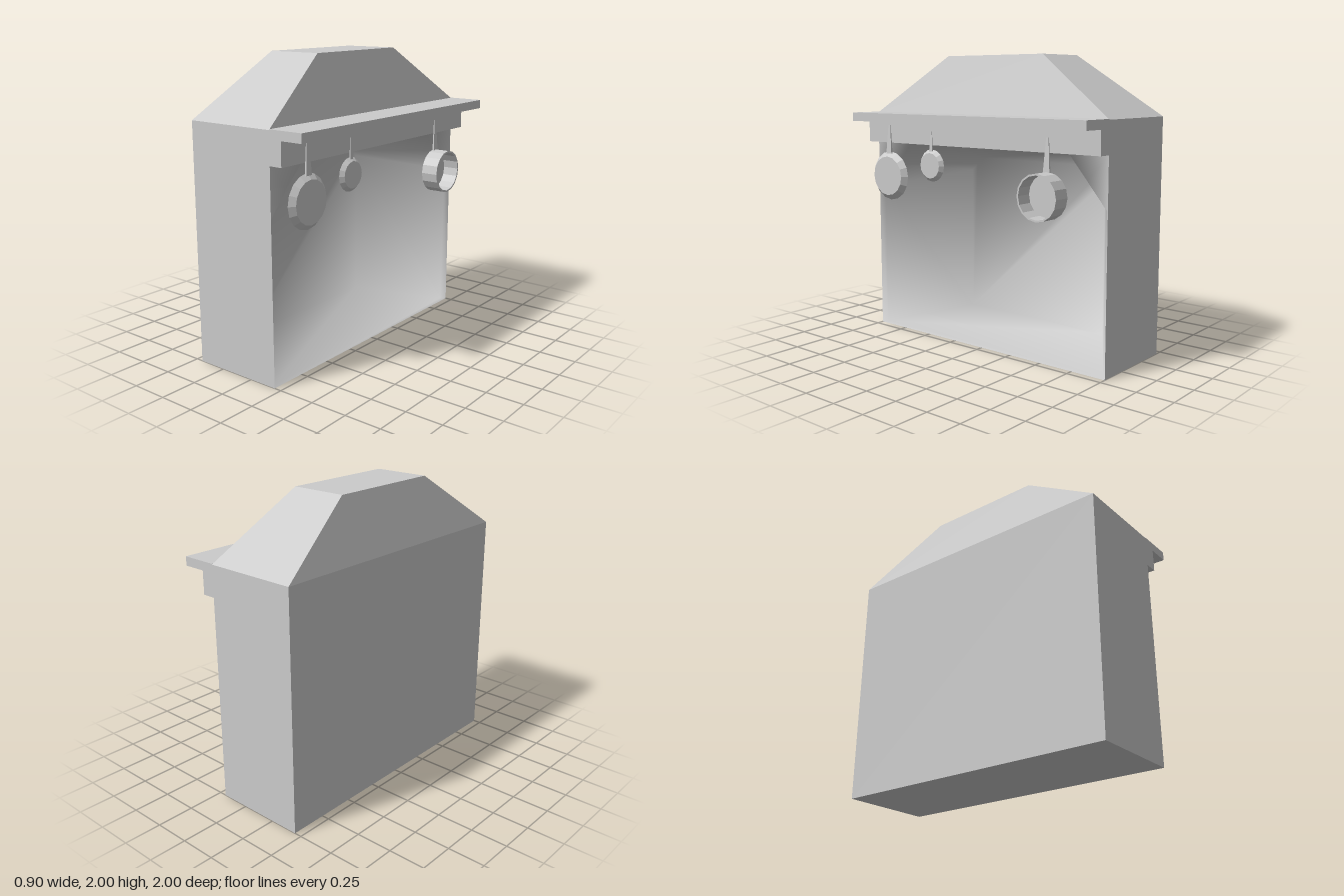
import * as THREE from 'three';

const material = new THREE.MeshStandardMaterial({ color: 0xcccccc, side: THREE.DoubleSide });

function add(parent, name, geometry, x = 0, y = 0, z = 0) {
  const mesh = new THREE.Mesh(geometry, material);
  mesh.name = name;
  mesh.position.set(x, y, z);
  parent.add(mesh);
  return mesh;
}

// Box given by its x, y and z limits
function addBox(parent, name, x0, x1, y0, y1, z0, z1) {
  return add(parent, name, new THREE.BoxGeometry(x1 - x0, y1 - y0, z1 - z0),
    (x0 + x1) / 2, (y0 + y1) / 2, (z0 + z1) / 2);
}

// Skin a row of closed loops and close the last one with a fan
function loft(loops) {
  const n = loops[0].length, index = [];
  for (let k = 0; k < loops.length - 1; k++) {
    for (let i = 0; i < n; i++) {
      const a = k * n + i, b = k * n + (i + 1) % n;
      index.push(a, b, b + n, a, b + n, a + n);
    }
  }
  const last = (loops.length - 1) * n;
  for (let i = 1; i < n - 1; i++) index.push(last, last + i, last + i + 1);
  const geometry = new THREE.BufferGeometry();
  geometry.setAttribute('position', new THREE.Float32BufferAttribute(loops.flat(2), 3));
  geometry.setIndex(index);
  geometry.computeVertexNormals();
  return geometry;
}

function flat(geometry) {
  const result = geometry.toNonIndexed();
  result.computeVertexNormals();
  return result;
}

// Horizontal rectangle, counter-clockwise from above
const ring = (x0, x1, y, z) => [[x0, y, z], [x1, y, z], [x1, y, -z], [x0, y, -z]];

// Chamber cross-section; dz and dy size the upper corners, cut = 1 bevels them
function opening(x, z, bottom, top, dz, dy, cut) {
  const cz = z - cut * dz / 2, cy = top - cut * dy / 2;
  return [[x, bottom, z], [x, bottom, -z], [x, top - dy, -z], [x, cy, -cz],
    [x, top, -z + dz], [x, top, z - dz], [x, cy, cz], [x, top - dy, z]];
}

// Hanging vessel: a bowl lathed along +x with a tapering handle
function hangingPan(name, y, z, profile, handleTop, width) {
  const pan = new THREE.Group();
  pan.name = name;
  const points = profile.map(([r, h]) => new THREE.Vector2(r, h));
  const bowl = add(pan, name + 'Bowl', flat(new THREE.LatheGeometry(points, 16)), 0.292, y, z);
  bowl.rotation.z = -Math.PI / 2;

  const radius = Math.max(...profile.map((p) => p[0]));
  const bottom = y + radius - 0.015, length = handleTop - bottom;
  const handle = new THREE.CylinderGeometry(width * 0.25, width * 0.7, length, 4);
  handle.rotateY(Math.PI / 4).scale(0.25, 1, 1);
  const grip = add(pan, name + 'Handle', flat(handle), 0.3, bottom + length / 2, z);
  grip.rotation.z = 0.03;
  return pan;
}

export function createModel() {
  const model = new THREE.Group();
  model.name = 'hearth';

  // Outer walls and tapering hood
  for (const s of [1, -1]) {
    const side = add(model, s > 0 ? 'leftWall' : 'rightWall',
      new THREE.PlaneGeometry(0.65, 1.6), -0.125, 0.8, s);
    if (s < 0) side.rotation.y = Math.PI;
  }
  const back = add(model, 'backWall', new THREE.PlaneGeometry(2, 1.6), -0.45, 0.8, 0);
  back.rotation.y = -Math.PI / 2;
  const base = add(model, 'base', new THREE.PlaneGeometry(0.65, 2), -0.125, 0, 0);
  base.rotation.x = Math.PI / 2;
  add(model, 'hood', flat(loft([ring(-0.45, 0.2, 1.6, 1), ring(-0.32, 0.07, 2, 0.41)])));

  // Header above the opening, beam and mantel shelf
  const header = add(model, 'header', new THREE.PlaneGeometry(2, 0.21), 0.2, 1.495, 0);
  header.rotation.y = Math.PI / 2;
  addBox(model, 'beam', 0.2, 0.29, 1.39, 1.545, -1, 1);
  addBox(model, 'mantelShelf', 0.2, 0.446, 1.545, 1.605, -1, 1);

  // Softly shaded fire chamber: splayed walls, rising floor, gusseted upper corners
  add(model, 'fireChamber', loft([
    opening(0.2, 1, 0, 1.39, 0.3, 0.34, 0),
    opening(0.17, 0.97, 0.005, 1.385, 0.28, 0.33, 1),
    opening(-0.4, 0.6, 0.08, 1.25, 0.1, 0.1, 1),
  ]));

  // Pans with their bottoms outwards and an open pot, hanging from the beam
  model.add(
    hangingPan('largePan', 1.152, 0.78,
      [[0, 0.026], [0.136, 0.026], [0.168, 0], [0.175, 0], [0.14, 0.034], [0, 0.034]], 1.515, 0.052),
    hangingPan('smallPan', 1.25, 0.365,
      [[0, 0.02], [0.086, 0.02], [0.106, 0], [0.112, 0], [0.088, 0.026], [0, 0.026]], 1.485, 0.03),
    hangingPan('pot', 1.123, -0.62,
      [[0, 0], [0.15, 0], [0.15, 0.12], [0.138, 0.12], [0.138, 0.008], [0, 0.008]], 1.485, 0.052),
  );
  return model;
}
